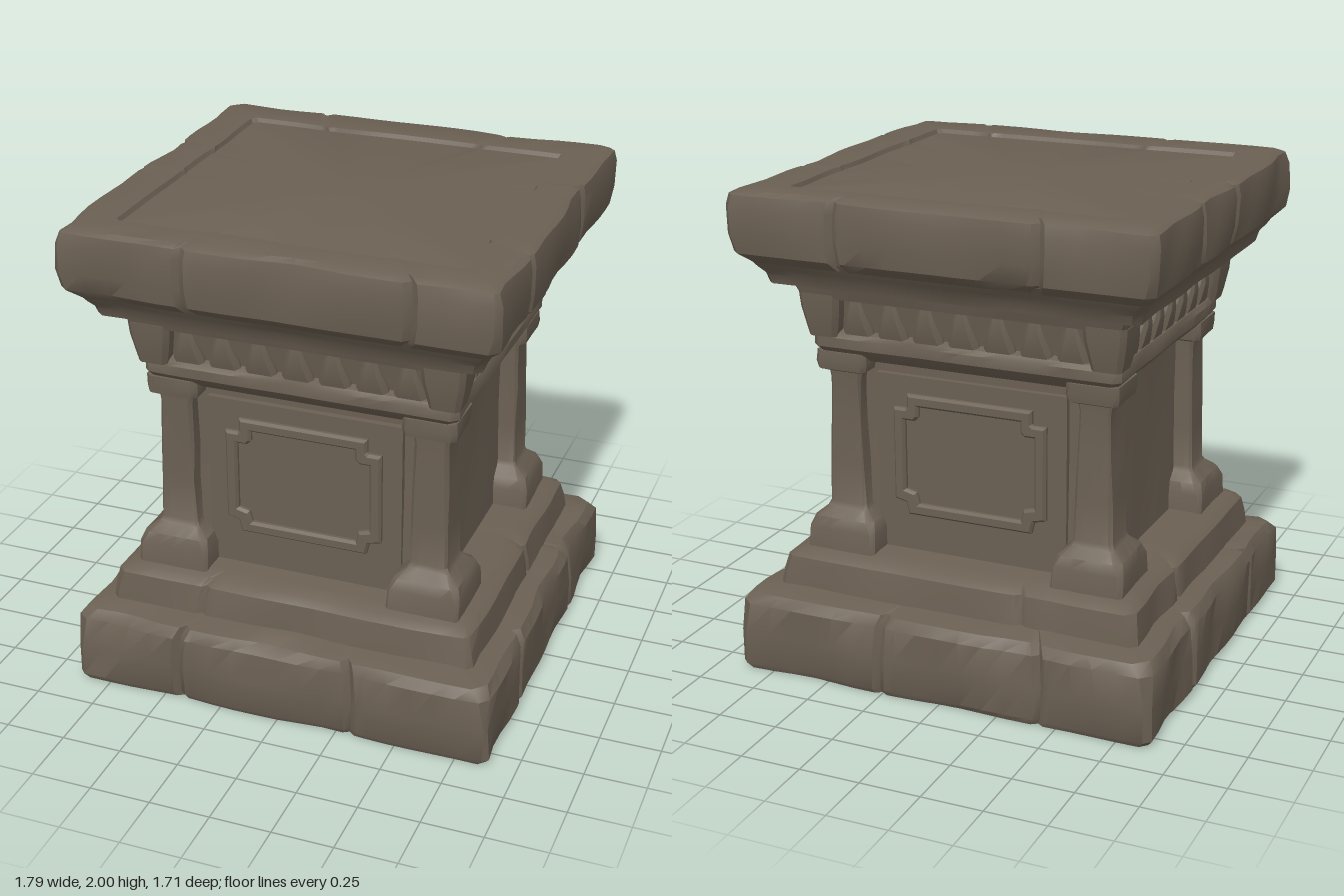
import * as THREE from 'three';
import { toCreasedNormals } from 'three/addons/utils/BufferGeometryUtils.js';

const stone = new THREE.MeshStandardMaterial({ color: 0x6b6053 });
stone.name = 'weathered stone';

// Smooth, repeatable wobble in the range 0..1
const wobble = (x, y, z) =>
  0.5 + 0.25 * Math.sin(7.3 * x + 4.1 * y + 1.3 + 2 * Math.sin(5.1 * z)) +
  0.25 * Math.sin(13.7 * z - 9.2 * y + 11.1 * x + 0.7);

// Stacked chamfered rectangles. Rows: [half x, half z, y, chamfer, wear]
// Cracks: for each of the sides +z, +x, -z, -x, places from -1 to 1.
function loft(rows, { steps = 1, cracks = [[], [], [], []], cx = 0, cz = 0 } = {}) {
  const pos = [], index = [];
  const sides = cracks.map((list) => {
    const pts = [];
    for (let i = 0; i <= steps; i++) {
      const t = -1 + (2 * i) / steps;
      if (!list.some((c) => Math.abs(c - t) < 0.05)) pts.push([t, 0]);
    }
    list.forEach((c) => pts.push([c - 0.03, 0], [c, 1], [c + 0.03, 0]));
    return pts.sort((a, b) => a[0] - b[0]);
  });
  for (const [hx, hz, y, chamfer, wear = 0] of rows) {
    sides.forEach((pts, s) => {
      const nx = [0, 1, 0, -1][s], nz = [1, 0, -1, 0][s];
      const half = s % 2 ? hz : hx, out = s % 2 ? hx : hz;
      for (const [t, crack] of pts) {
        const along = t * (half - chamfer);
        const x = nx * out + nz * along, z = nz * out - nx * along;
        const n = wobble(x + cx, y, z + cz);
        const inward = wear * (n * n + crack * 0.9);
        pos.push(x - nx * inward, y - (y > 0.1 && y < 1.97 ? wear * 0.25 * (n - 0.5) : 0), z - nz * inward);
      }
    });
  }
  const n = pos.length / 3 / rows.length;
  for (let r = 0; r < rows.length - 1; r++)
    for (let j = 0; j < n; j++) {
      const a = r * n + j, b = r * n + ((j + 1) % n);
      index.push(a, b, b + n, a, b + n, a + n);
    }
  // End caps
  const bottom = pos.length / 3, last = (rows.length - 1) * n;
  pos.push(0, rows[0][2], 0, 0, rows[rows.length - 1][2], 0);
  for (let j = 0; j < n; j++) {
    const k = (j + 1) % n;
    index.push(bottom, k, j, bottom + 1, last + j, last + k);
  }
  const g = new THREE.BufferGeometry();
  g.setAttribute('position', new THREE.Float32BufferAttribute(pos, 3));
  g.setIndex(index);
  return toCreasedNormals(g, 0.6);
}

// Rectangle outline with notched corners
function notched(Type, hx, y0, y1, n) {
  const s = new Type();
  const pts = [
    [-hx + n, y0], [hx - n, y0], [hx - n * 0.8, y0 + n * 0.8], [hx, y0 + n], [hx, y1 - n], [hx - n * 0.8, y1 - n],
    [hx - n, y1 - n * 0.8], [hx - n, y1], [-hx + n, y1], [-hx + n, y1 - n * 0.8], [-hx + n * 0.8, y1 - n],
    [-hx, y1 - n], [-hx, y0 + n], [-hx + n * 0.8, y0 + n * 0.8],
  ];
  s.setFromPoints(pts.map(([x, y]) => new THREE.Vector2(x, y)));
  return s;
}

export function createModel() {
  const model = new THREE.Group();
  model.name = 'stonePedestal';
  const add = (name, geometry, parent = model) => {
    const m = new THREE.Mesh(geometry, stone);
    m.name = name;
    parent.add(m);
    return m;
  };

  // Bottom slab with a sunken underside
  add('baseSlab', loft([
    [0.68, 0.64, 0.012, 0.01], [0.70, 0.66, 0, 0.01], [0.875, 0.84, 0, 0.03, 0.02],
    [0.895, 0.855, 0.025, 0.03, 0.022], [0.895, 0.855, 0.16, 0.03, 0.022], [0.893, 0.853, 0.29, 0.05, 0.03],
    [0.865, 0.825, 0.33, 0.06, 0.035], [0.74, 0.69, 0.35, 0.04],
  ], { steps: 18, cracks: [[-0.5, 0.36], [-0.48, 0.45], [-0.3, 0.5], [-0.4, 0.52]] }));

  // Step between the slab and the body
  add('baseStep', loft([
    [0.785, 0.725, 0.32, 0.03, 0.015], [0.775, 0.715, 0.40, 0.03, 0.015], [0.765, 0.705, 0.465, 0.04, 0.02],
    [0.73, 0.67, 0.49, 0.04, 0.02], [0.65, 0.59, 0.503, 0.03],
  ], { steps: 14, cracks: [[-0.5], [0.1], [0.4], [-0.3]] }));

  // Body between the corner piers
  add('body', loft([
    [0.545, 0.505, 0.48, 0.02], [0.54, 0.50, 0.7, 0.02, 0.008], [0.53, 0.49, 1.0, 0.02, 0.008], [0.53, 0.49, 1.33, 0.02],
  ], { steps: 10 }));

  // Corner piers with flared feet and small capitals
  for (const sx of [-1, 1]) for (const sz of [-1, 1]) {
    const cx = sx * 0.535, cz = sz * 0.475;
    add('cornerPier', loft([
      [0.155, 0.165, 0.48, 0.015, 0.01], [0.155, 0.16, 0.58, 0.02, 0.015], [0.14, 0.145, 0.625, 0.03, 0.015],
      [0.095, 0.10, 0.66, 0.015, 0.012], [0.085, 0.09, 0.68, 0.015, 0.012], [0.08, 0.085, 0.85, 0.015, 0.015],
      [0.076, 0.08, 1.02, 0.015, 0.015], [0.07, 0.078, 1.2, 0.015, 0.008], [0.075, 0.08, 1.235, 0.015, 0.008],
      [0.108, 0.115, 1.25, 0.02, 0.01], [0.114, 0.12, 1.28, 0.02, 0.012], [0.108, 0.115, 1.325, 0.02],
    ], { steps: 4, cx, cz })).position.set(cx, 0, cz);
  }

  // Front and back panels with notched frames
  for (const [name, turn] of [['frontPanel', 0], ['backPanel', Math.PI]]) {
    const panel = new THREE.Group();
    panel.name = name;
    panel.rotation.y = turn;
    add('panelSlab', new THREE.BoxGeometry(0.82, 0.75, 0.04), panel).position.set(0, 0.865, 0.495);
    const outline = notched(THREE.Shape, 0.32, 0.67, 1.16, 0.06);
    outline.holes.push(notched(THREE.Path, 0.29, 0.70, 1.13, 0.06));
    add('panelFrame', new THREE.ExtrudeGeometry(outline, {
      depth: 0.018, bevelEnabled: true, bevelSize: 0.01, bevelThickness: 0.012, bevelSegments: 1,
    }), panel).position.z = 0.51;
    model.add(panel);
  }

  // Architrave, recessed frieze and cornice up to the top slab
  add('entablature', loft([
    [0.59, 0.54, 1.29, 0.02], [0.63, 0.575, 1.315, 0.03, 0.01], [0.655, 0.60, 1.345, 0.03, 0.012],
    [0.655, 0.60, 1.385, 0.03, 0.012], [0.64, 0.585, 1.405, 0.02], [0.605, 0.555, 1.415, 0.02],
    [0.63, 0.58, 1.54, 0.02], [0.685, 0.635, 1.555, 0.02, 0.006], [0.708, 0.655, 1.61, 0.02, 0.008],
    [0.775, 0.73, 1.62, 0.03, 0.012], [0.785, 0.745, 1.66, 0.03, 0.014], [0.81, 0.77, 1.69, 0.03, 0.014],
    [0.84, 0.80, 1.74, 0.03],
  ], { steps: 14 }));

  // Wedge teeth of the frieze on all sides
  for (let s = 0; s < 4; s++) {
    const row = new THREE.Group();
    row.name = 'friezeTeeth';
    row.rotation.y = (s * Math.PI) / 2;
    const out = s % 2 ? 0.618 : 0.568, gap = s % 2 ? 0.138 : 0.152;
    for (let i = -3; i <= 3; i++) {
      const tooth = add('tooth', loft([
        [0.066, 0.03, -0.08, 0.015], [0.062, 0.034, -0.045, 0.02], [0.04, 0.034, 0.02, 0.015], [0.022, 0.02, 0.075, 0.008],
      ]), row);
      tooth.position.set(i * gap, 1.48, out);
      tooth.rotation.x = 0.18;
    }
    model.add(row);
  }
  // Solid corners of the frieze
  for (const sx of [-1, 1]) for (const sz of [-1, 1])
    add('friezeCorner', loft([
      [0.06, 0.06, 1.39, 0.015], [0.07, 0.07, 1.43, 0.02], [0.085, 0.085, 1.51, 0.02], [0.09, 0.09, 1.57, 0.02],
    ])).position.set(sx * 0.6, 0, sz * 0.55);

  // Top slab with worn rim and sunken centre
  add('topSlab', loft([
    [0.74, 0.70, 1.69, 0.02], [0.83, 0.795, 1.715, 0.04, 0.02], [0.872, 0.84, 1.755, 0.04, 0.025],
    [0.882, 0.85, 1.83, 0.03, 0.022], [0.882, 0.85, 1.94, 0.03, 0.024], [0.872, 0.84, 1.985, 0.03, 0.026],
    [0.845, 0.815, 2, 0.04, 0.03], [0.70, 0.665, 1.995, 0.02, 0.012], [0.69, 0.655, 1.978, 0.02, 0.008],
    [0.67, 0.635, 1.982, 0.02],
  ], { steps: 18, cracks: [[-0.42, 0.64], [-0.55, 0.4], [-0.5, 0.5], [-0.35, 0.1]] }));

  return model;
}
